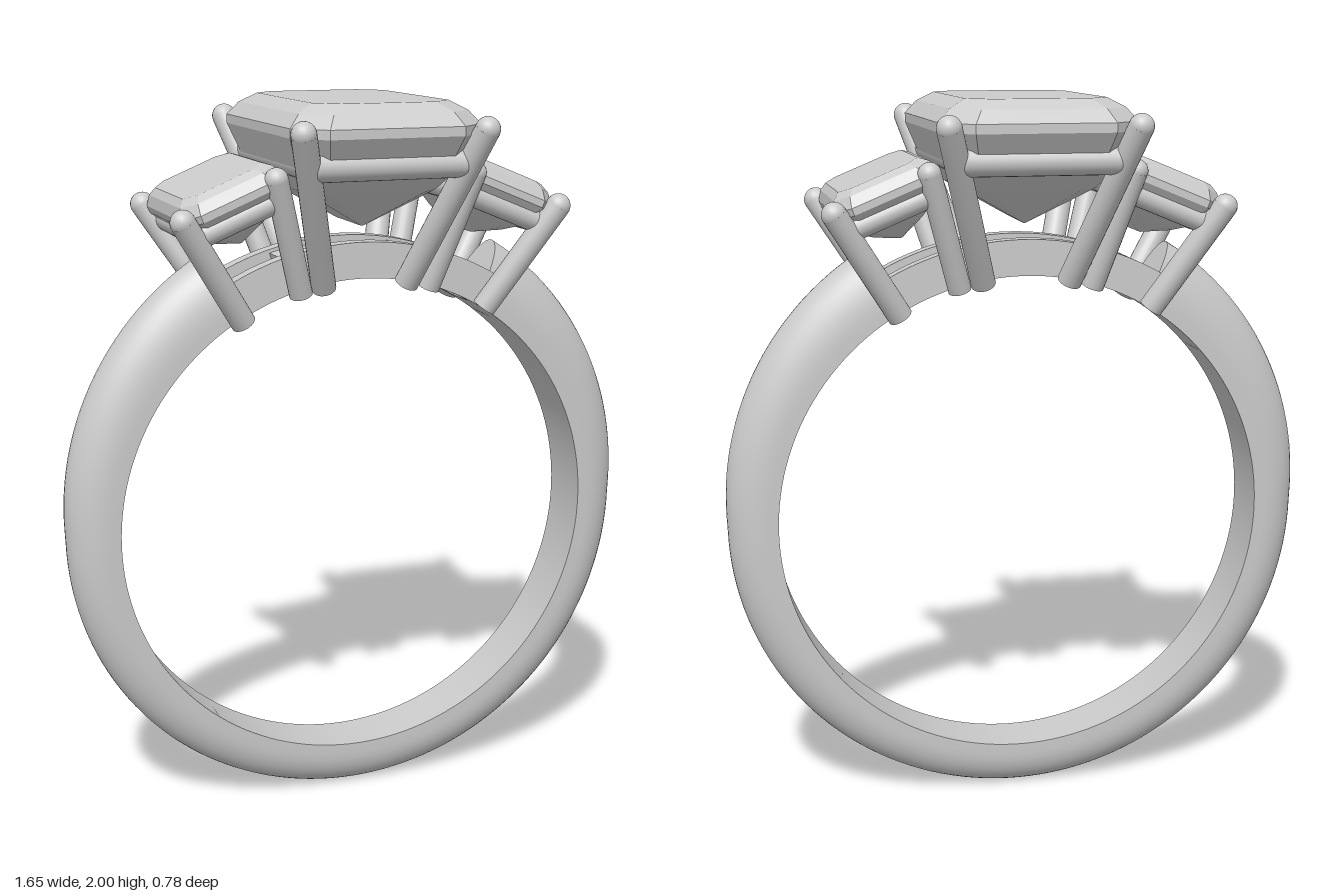
import * as THREE from 'three';
import { toCreasedNormals } from 'three/addons/utils/BufferGeometryUtils.js';

const CY = 0.825;     // centre height of the ring
const INNER = 0.69;   // finger radius
const END = 0.515;    // angle from the top where the band stops
const metal = new THREE.MeshStandardMaterial({ color: 0xcccccc });
const facet = new THREE.MeshStandardMaterial({ color: 0xcccccc, flatShading: true });

function add(parent, name, geometry, material = metal) {
  const mesh = new THREE.Mesh(geometry, material);
  mesh.name = name;
  parent.add(mesh);
  return mesh;
}

function buildGeometry(points, index) {
  const g = new THREE.BufferGeometry();
  g.setAttribute('position', new THREE.Float32BufferAttribute(points, 3));
  g.setIndex(index);
  return g;
}

// D-shaped section swept round the finger, growing towards the shoulders
function bandGeometry() {
  const steps = 128, arc = 20, n = arc + 3;
  const points = [], index = [];
  for (let i = 0; i <= steps; i++) {
    const t = END + (2 * Math.PI - 2 * END) * i / steps;
    const outer = CY + 0.06 * Math.max(0, Math.cos(t));
    const w = 0.088 + 0.008 * Math.cos(t);
    const shoulder = INNER + 0.03;
    const section = [[INNER, -w]];
    for (let j = 0; j <= arc; j++) {
      const a = Math.PI * j / arc;
      section.push([shoulder + (outer - shoulder) * Math.sin(a), -w * Math.cos(a)]);
    }
    section.push([INNER, w]);
    for (const [r, z] of section) points.push(r * Math.sin(t), CY + r * Math.cos(t), z);
  }
  for (let i = 0; i < steps; i++) {
    for (let j = 0; j < n; j++) {
      const k = (j + 1) % n, a = i * n, b = a + n;
      index.push(a + j, a + k, b + j, a + k, b + k, b + j);
    }
  }
  const last = steps * n;
  for (let j = 1; j < n - 1; j++) {
    index.push(0, j + 1, j, last, last + j, last + j + 1);
  }
  return toCreasedNormals(buildGeometry(points, index), 0.6);
}

// Step-cut stone: stacked cut-corner rectangles [halfX, halfZ, corner, y], top to bottom
function stoneGeometry(levels) {
  const points = [], index = [];
  for (const [x, z, c, y] of levels) {
    const ring = [[x, -z + c], [x - c, -z], [-x + c, -z], [-x, -z + c],
      [-x, z - c], [-x + c, z], [x - c, z], [x, z - c]];
    for (const [px, pz] of ring) points.push(px, y, pz);
  }
  for (let l = 0; l < levels.length - 1; l++) {
    for (let i = 0; i < 8; i++) {
      const k = (i + 1) % 8, a = l * 8, b = a + 8;
      index.push(a + i, b + i, b + k, a + i, b + k, a + k);
    }
  }
  const last = (levels.length - 1) * 8;
  for (let i = 1; i < 7; i++) {
    index.push(0, i, i + 1, last, last + i + 1, last + i);
  }
  return buildGeometry(points, index).toNonIndexed();
}

// Straight round wire between two points
function wire(parent, name, from, to, radius, geometry) {
  const a = new THREE.Vector3(...from), b = new THREE.Vector3(...to);
  const dir = b.clone().sub(a), len = dir.length();
  const mesh = add(parent, name, geometry === 'capsule'
    ? new THREE.CapsuleGeometry(radius, len, 8, 20)
    : new THREE.CylinderGeometry(radius, radius, len, 20));
  mesh.position.copy(a).add(b).multiplyScalar(0.5);
  mesh.quaternion.setFromUnitVectors(new THREE.Vector3(0, 1, 0), dir.normalize());
  return mesh;
}

// Prong with a flat foot and a rounded tip
function prong(parent, name, foot, tip, radius) {
  const g = new THREE.Group();
  g.name = name;
  wire(g, name + 'Shaft', foot, tip, radius);
  add(g, name + 'Tip', new THREE.SphereGeometry(radius, 20, 14)).position.set(...tip);
  parent.add(g);
}

// Curved block following the finger, between two angles from the top
function archBlock(parent, name, from, to, outer, z, depth) {
  const shape = new THREE.Shape();
  const a = Math.PI / 2 - to, b = Math.PI / 2 - from;
  shape.absarc(0, 0, outer, a, b, false);
  shape.absarc(0, 0, INNER, b, a, true);
  const g = new THREE.ExtrudeGeometry(shape, { depth, bevelEnabled: false, curveSegments: 24 });
  add(parent, name, toCreasedNormals(g, 0.5)).position.set(0, CY, z);
}

// Four rounded wires joining the prongs under a stone
function basket(parent, name, x, z, radius) {
  const g = new THREE.Group();
  g.name = name;
  for (const s of [-1, 1]) {
    wire(g, 'basketLongBar', [s * x, 0, -z], [s * x, 0, z], radius, 'capsule');
    wire(g, 'basketEndBar', [-x, 0, s * z], [x, 0, s * z], radius, 'capsule');
  }
  parent.add(g);
  return g;
}

export function createModel() {
  const ring = new THREE.Group();
  ring.name = 'threeStoneRing';
  add(ring, 'band', bandGeometry());

  // Open bridge under the stones: two rails and crossbars
  for (const z of [-0.1, 0.055]) archBlock(ring, 'bridgeRail', -0.54, 0.54, 0.79, z, 0.045);
  for (const s of [-1, 1]) {
    archBlock(ring, 'bridgeCrossbar', s * 0.22 - 0.06, s * 0.22 + 0.06, 0.78, -0.09, 0.18);
  }

  // Centre stone and its basket
  add(ring, 'centreStone', stoneGeometry([
    [0.19, 0.295, 0.06, 2.0],
    [0.235, 0.335, 0.07, 1.975],
    [0.265, 0.365, 0.08, 1.94],
    [0.265, 0.365, 0.08, 1.915],
    [0.235, 0.31, 0.07, 1.83],
    [0.18, 0.23, 0.05, 1.76],
    [0.003, 0.1, 0.002, 1.66],
  ]), facet);
  basket(ring, 'centreBasket', 0.2, 0.3, 0.038).position.y = 1.84;

  for (const s of [-1, 1]) {
    // Side stone, tilted outwards, with its basket
    const side = new THREE.Group();
    side.name = s > 0 ? 'leftSideSetting' : 'rightSideSetting';
    side.position.set(s * 0.385, 1.75, 0);
    side.rotation.z = -s * 0.39;
    add(side, 'sideStone', stoneGeometry([
      [0.115, 0.18, 0.035, 0.055],
      [0.135, 0.205, 0.04, 0.04],
      [0.15, 0.225, 0.045, 0.012],
      [0.15, 0.225, 0.045, -0.008],
      [0.12, 0.185, 0.035, -0.06],
      [0.07, 0.13, 0.025, -0.1],
      [0.003, 0.07, 0.002, -0.135],
    ]), facet);
    basket(side, 'sideBasket', 0.115, 0.185, 0.032).position.y = -0.045;
    ring.add(side);

    // Prongs at every corner
    for (const f of [-1, 1]) {
      prong(ring, 'centreProng', [s * 0.12, 1.5, f * 0.125], [s * 0.252, 1.93, f * 0.355], 0.034);
      prong(ring, 'innerSideProng', [s * 0.185, 1.485, f * 0.125], [s * 0.28, 1.805, f * 0.215], 0.032);
      prong(ring, 'outerSideProng', [s * 0.35, 1.42, f * 0.135], [s * 0.532, 1.705, f * 0.215], 0.034);
    }
  }
  return ring;
}
